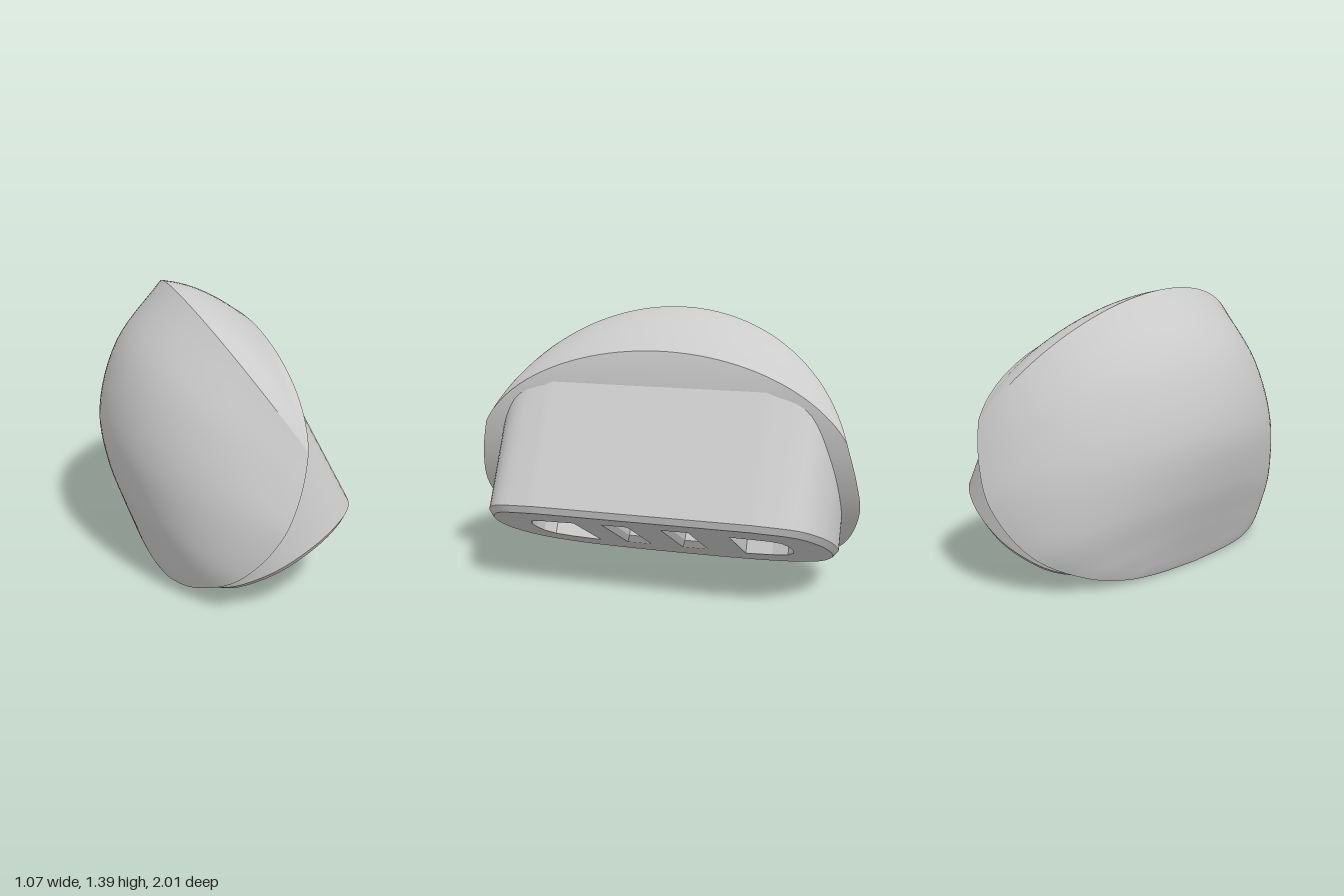
import * as THREE from 'three';

const material = new THREE.MeshStandardMaterial({ color: 0xcccccc, side: THREE.DoubleSide });
const V = (x, y, z) => new THREE.Vector3(x, y, z);
const spline = (pts, n) => {
  const curve = new THREE.CatmullRomCurve3(pts);
  return Array.from({ length: n + 1 }, (_, i) => curve.getPoint(i / n));
};

// Sheet through equally long rows of points
function sheet(name, rows) {
  const n = rows[0].length, index = [];
  for (let i = 0; i < rows.length - 1; i++) {
    for (let j = 0; j < n - 1; j++) {
      const a = i * n + j, b = a + n;
      index.push(a, a + 1, b, b, a + 1, b + 1);
    }
  }
  const geometry = new THREE.BufferGeometry().setFromPoints(rows.flat());
  geometry.setIndex(index);
  geometry.computeVertexNormals();
  const mesh = new THREE.Mesh(geometry, material);
  mesh.name = name;
  return mesh;
}

// The underside of the cap is a cylinder running along z
const ARC = { x: -0.928, y: 1.0, r: 1.153 };
const arcX = (y) => ARC.x + Math.sqrt(ARC.r ** 2 - (y - ARC.y) ** 2);

// Arched row from the rim at +z over the ridge at z = 0 to the rim at -z
const SPREAD = 1.25, ACROSS = 48;
function archRow(rim, ridge) {
  return Array.from({ length: ACROSS + 1 }, (_, j) => {
    const a = SPREAD * (1 - (2 * j) / ACROSS);
    const f = (Math.cos(a) - Math.cos(SPREAD)) / (1 - Math.cos(SPREAD));
    return V(rim.x + (ridge.x - rim.x) * f, rim.y + (ridge.y - rim.y) * f,
      rim.z * Math.sin(a) / Math.sin(SPREAD));
  });
}

function makeCap() {
  const cap = new THREE.Group();
  cap.name = 'cap';

  // Main dome: lower rim (y, z) paired with the back ridge (x, y)
  const rim = spline([[0.005, 0], [0.012, 0.3], [0.03, 0.5], [0.08, 0.7], [0.2, 0.9],
    [0.43, 1], [0.62, 0.985], [0.81, 0.94]].map(([y, z]) => V(arcX(y), y, z)), 42);
  rim.forEach((p) => { p.x = arcX(p.y); });
  const ridge = spline([[-0.345, 0.005], [-0.36, 0.04], [-0.39, 0.12], [-0.435, 0.24],
    [-0.505, 0.45], [-0.54, 0.72], [-0.44, 1.08], [-0.19, 1.395]].map(([x, y]) => V(x, y, 0)), 42);
  cap.add(sheet('mainDome', rim.map((p, i) => archRow(p, ridge[i])).reverse()));

  // Front dome: fans from the creased edge to the upper rim
  const corner = rim[rim.length - 1];
  const front = spline([[-0.19, 1.395], [-0.09, 1.373], [0.01, 1.335], [0.11, 1.28],
    [0.204, 1.215]].map(([x, y]) => V(x, y, 0)), 12).map((p) => archRow(corner, p));
  const upperRim = front[front.length - 1];
  upperRim.forEach((p) => { p.x = arcX(p.y); });
  cap.add(sheet('frontDome', [...front].reverse()));

  // Curved underside closing the cap
  const side = [...rim, ...upperRim.slice(1, ACROSS / 2 + 1)];
  cap.add(sheet('capUnderside', side.map((p) => [p.clone(), V(p.x, p.y, -p.z)])));
  return cap;
}

// Tilted block; its local axes are x = across, y = along the base, z = upward
function makeBlock() {
  const tilt = THREE.MathUtils.degToRad(28.2);
  const c = Math.cos(tilt), s = Math.sin(tilt);
  const origin = V(-0.23, 0.025, 0);
  const block = new THREE.Group();
  block.name = 'block';
  block.applyMatrix4(new THREE.Matrix4()
    .makeBasis(V(0, 0, 1), V(c, s, 0), V(-s, c, 0)).setPosition(origin));

  // Closed outline, flat on the front side
  const half = spline([[0, -0.028], [0.35, -0.015], [0.6, 0.03], [0.8, 0.14], [0.89, 0.31],
    [0.91, 0.46], [0.87, 0.68], [0.77, 0.83], [0.55, 0.88]].map(([x, y]) => V(x, y, 0)), 40);
  const outline = [...half, ...half.slice(1).reverse().map((p) => V(-p.x, p.y, 0)), half[0].clone()];

  // Height at which a wall line meets the underside of the cap
  const wallTop = (u) => {
    const dx = origin.x + u * c - ARC.x, dy = origin.y + u * s - ARC.y;
    const b = -dx * s + dy * c, k = dx * dx + dy * dy - ARC.r ** 2;
    const root = Math.sqrt(Math.max(0, b * b - k));
    return Math.max(0.035, -b - root + 0.015);
  };
  const base = outline.map((p) => V(p.x * 0.972, 0.426 + (p.y - 0.426) * 0.944, 0));
  const bevel = outline.map((p) => V(p.x, p.y, 0.03));
  const top = outline.map((p) => V(p.x, p.y, wallTop(p.y)));
  block.add(sheet('blockWall', [top, bevel]), sheet('baseBevel', [bevel, base]));

  // Openings: two rounded pockets and two bevelled slots
  const pocket = [[0.405, 0.21], [0.55, 0.24], [0.64, 0.285], [0.68, 0.36], [0.688, 0.46],
    [0.68, 0.54], [0.655, 0.62], [0.6, 0.65], [0.405, 0.667]];
  const slot = (a, b) => [[a, 0.22], [b, 0.22], [b, 0.69], [a, 0.69]];
  const pockets = [pocket, pocket.map(([x, y]) => [-x, y]).reverse()];
  const slots = [slot(0.112, 0.246), slot(-0.203, -0.064)];
  const to2 = (pts) => pts.map(([x, y]) => new THREE.Vector2(x, y));

  // Base plate with the openings cut out
  const plate = new THREE.Shape(base.slice(0, -1).map((p) => new THREE.Vector2(p.x, p.y)));
  [...pockets, ...slots].forEach((h) => plate.holes.push(new THREE.Path(to2(h))));
  const plateMesh = new THREE.Mesh(new THREE.ShapeGeometry(plate).scale(1, 1, -1), material);
  const idx = plateMesh.geometry.index.array;
  for (let i = 0; i < idx.length; i += 3) [idx[i], idx[i + 1]] = [idx[i + 1], idx[i]];
  plateMesh.geometry.computeVertexNormals();
  plateMesh.name = 'basePlate';
  block.add(plateMesh);

  // Recess walls from a stack of rings, plus the floor
  const ring = (pts, z) => [...pts, pts[0]].map(([x, y]) => V(x, y, z));
  const recess = (name, rings) => {
    for (let i = 0; i < rings.length - 1; i++) {
      const mesh = sheet(name + 'Wall', [rings[i], rings[i + 1]]);
      mesh.geometry = mesh.geometry.toNonIndexed();
      mesh.geometry.computeVertexNormals();
      block.add(mesh);
    }
    const last = rings[rings.length - 1];
    const floor = new THREE.Mesh(new THREE.ShapeGeometry(
      new THREE.Shape(last.slice(0, -1).map((p) => new THREE.Vector2(p.x, p.y)))), material);
    floor.position.z = last[0].z;
    floor.name = name + 'Floor';
    block.add(floor);
  };
  const DEPTH = 0.42;
  pockets.forEach((p) => recess('pocket', [ring(p, 0), ring(p, DEPTH)]));
  slots.forEach((p) => {
    const [a, b] = [p[0][0] + 0.018, p[1][0] - 0.018];
    const inner = [[a, 0.265], [b, 0.265], [b, 0.67], [a, 0.67]];
    recess('slot', [ring(p, 0), ring(inner, 0.03), ring(inner, DEPTH)]);
  });
  return block;
}

export function createModel() {
  const model = new THREE.Group();
  model.name = 'cappedBlock';
  model.add(makeCap(), makeBlock());
  return model;
}
